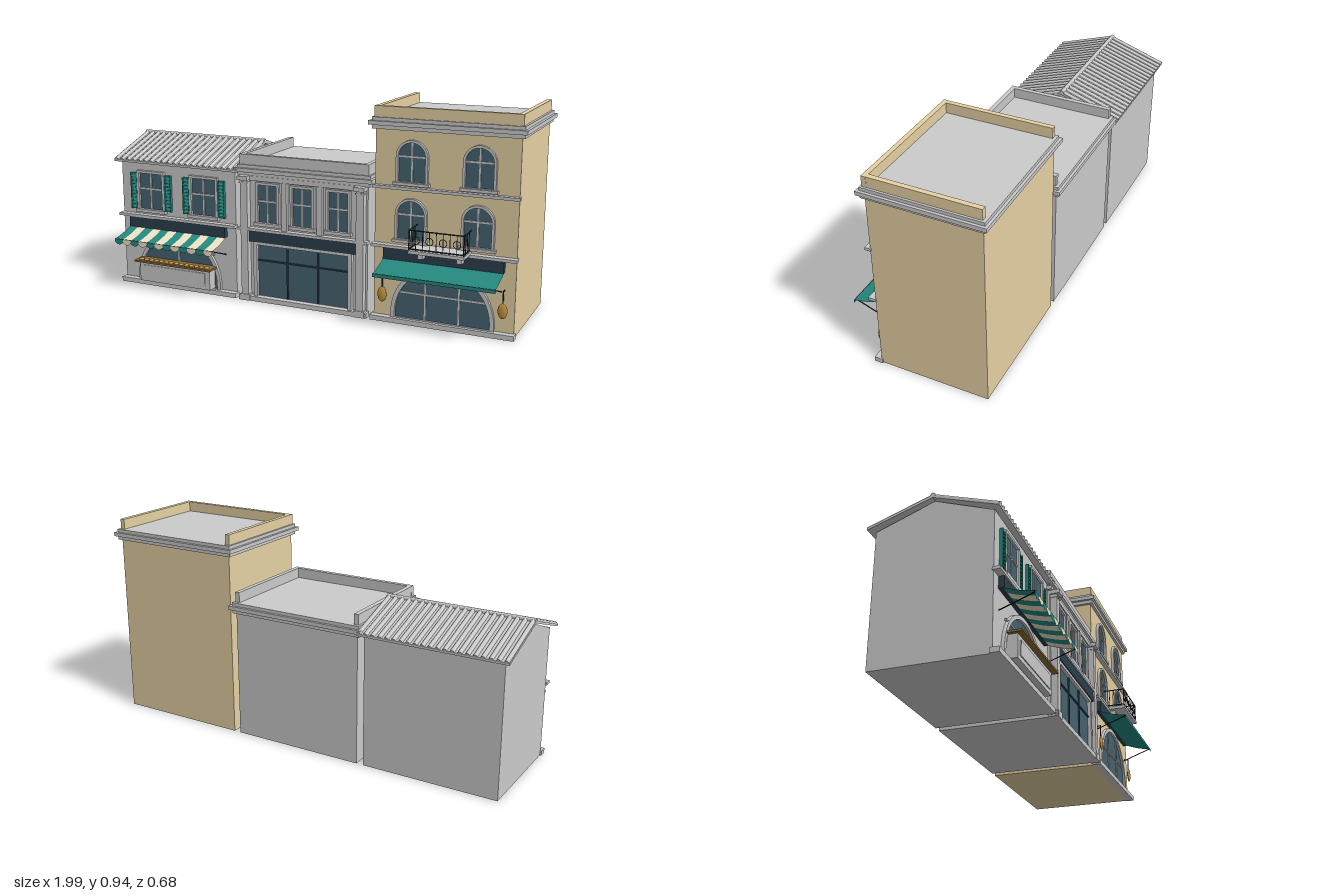
import * as THREE from 'three';

const paint = (color, side = THREE.FrontSide) => new THREE.MeshStandardMaterial({ color, side });
const GREY = paint(0xcccccc), TAN = paint(0xe6d2a4), GLASS = paint(0x466472), NAVY = paint(0x2c3e4e);
const TEAL = paint(0x258a80), GOLD = paint(0xc9973f), BLACK = paint(0x22262a), BROWN = paint(0x8a6a3c);
const TEAL_CLOTH = paint(0x258a80, THREE.DoubleSide), CREAM_CLOTH = paint(0xeee4c8, THREE.DoubleSide);
const FRONT = 0.19, BACK = -0.31, MID = -0.06, W = 0.626, STEP = 0.658;

function add(g, name, geo, mat) {
  const m = new THREE.Mesh(geo, mat);
  m.name = name;
  g.add(m);
  return m;
}

// Box given by centre x, width, and y / z ranges
function box(g, name, mat, x, w, y0, y1, z0, z1) {
  const geo = new THREE.BoxGeometry(w, y1 - y0, z1 - z0);
  return add(g, name, geo.translate(x, (y0 + y1) / 2, (z0 + z1) / 2), mat);
}

// Round bar between two points
function bar(g, name, mat, a, b, r, sides = 6) {
  const p = new THREE.Vector3(...a), q = new THREE.Vector3(...b);
  const m = add(g, name, new THREE.CylinderGeometry(r, r, p.distanceTo(q), sides), mat);
  m.position.copy(p).add(q).multiplyScalar(0.5);
  m.quaternion.setFromUnitVectors(new THREE.Vector3(0, 1, 0), q.sub(p).normalize());
  return m;
}

function archShape(r, bottom, spring) {
  const s = new THREE.Shape();
  s.moveTo(-r, bottom).lineTo(r, bottom).lineTo(r, spring);
  s.absarc(0, spring, r, 0, Math.PI, false);
  s.lineTo(-r, bottom);
  return s;
}

function slab(g, name, mat, shape, x, z0, z1) {
  const geo = new THREE.ExtrudeGeometry(shape, { depth: z1 - z0, bevelEnabled: false, curveSegments: 24 });
  return add(g, name, geo.translate(x, 0, z0), mat);
}

// Arched glass with a raised surround
function archOpening(g, x, r, bottom, spring, t) {
  slab(g, 'archGlass', GLASS, archShape(r, bottom, spring), x, FRONT - 0.005, FRONT + 0.004);
  const ring = archShape(r + t, bottom, spring);
  ring.holes.push(archShape(r, bottom + 0.002, spring));
  slab(g, 'archSurround', GREY, ring, x, FRONT - 0.005, FRONT + 0.014);
}

function glazingBars(g, x, y0, y1, w, yCross) {
  box(g, 'mullion', GREY, x, 0.007, y0, y1, FRONT, FRONT + 0.008);
  box(g, 'transom', GREY, x, w, yCross - 0.0035, yCross + 0.0035, FRONT, FRONT + 0.008);
}

function archWindow(g, x, floor) {
  const r = 0.06, bottom = floor + 0.025, spring = floor + 0.135;
  archOpening(g, x, r, bottom, spring, 0.011);
  glazingBars(g, x, bottom, spring + r, 2 * r, spring);
  box(g, 'windowSill', GREY, x, 0.16, bottom - 0.013, bottom, FRONT, FRONT + 0.022);
}

function squareWindow(g, x, w) {
  const y0 = 0.375, y1 = 0.55;
  box(g, 'windowGlass', GLASS, x, w, y0, y1, FRONT, FRONT + 0.004);
  for (const s of [-1, 1]) box(g, 'windowJamb', GREY, x + s * (w / 2 + 0.006), 0.012, y0, y1, FRONT, FRONT + 0.014);
  box(g, 'windowHead', GREY, x, w + 0.024, y1, y1 + 0.012, FRONT, FRONT + 0.014);
  box(g, 'windowSill', GREY, x, w + 0.036, y0 - 0.015, y0, FRONT, FRONT + 0.022);
  glazingBars(g, x, y0, y1, w, 0.475);
}

function shutter(g, x) {
  box(g, 'shutter', TEAL, x, 0.036, 0.372, 0.548, FRONT, FRONT + 0.008);
  for (const s of [-1, 1]) box(g, 'shutterStile', TEAL, x + s * 0.015, 0.006, 0.372, 0.548, FRONT, FRONT + 0.014);
  for (let i = 0; i < 10; i++) {
    const louver = add(g, 'shutterLouver', new THREE.BoxGeometry(0.024, 0.01, 0.003), TEAL);
    louver.position.set(x, 0.385 + i * 0.0165, FRONT + 0.01);
    louver.rotation.x = -0.5;
  }
}

// Sagging cloth strip with a hanging valance
function awningStrip(g, x, w, mat, scallop) {
  const cloth = new THREE.PlaneGeometry(w, 1, 1, 8), p = cloth.attributes.position;
  for (let i = 0; i < p.count; i++) {
    const t = 0.5 - p.getY(i);
    p.setXYZ(i, p.getX(i) + x, 0.288 - 0.06 * t + 0.022 * t * t, 0.2 + 0.135 * t);
  }
  cloth.computeVertexNormals();
  add(g, 'awningCloth', cloth, mat);
  const s = new THREE.Shape();
  s.moveTo(-w / 2, 0.25).lineTo(-w / 2, 0.235);
  if (scallop) s.quadraticCurveTo(0, 0.213, w / 2, 0.235);
  else s.lineTo(w / 2, 0.235);
  s.lineTo(w / 2, 0.25);
  add(g, 'awningValance', new THREE.ShapeGeometry(s).translate(x, 0, 0.335), mat);
}

function awning(g, w, count, mats) {
  const a = new THREE.Group();
  a.name = 'awning';
  g.add(a);
  const sw = w / count;
  for (let i = 0; i < count; i++) awningStrip(a, -w / 2 + (i + 0.5) * sw, sw, mats[i % mats.length], count > 1);
  for (const s of [-1, 1]) bar(a, 'awningArm', BLACK, [s * w * 0.48, 0.248, 0.33], [s * w * 0.48, 0.198, FRONT], 0.0025);
  bar(a, 'awningFrontRod', BLACK, [-w / 2, 0.249, 0.332], [w / 2, 0.249, 0.332], 0.002);
}

// Three-tier cornice round the whole block, closing the flat roof
function cornice(g, y) {
  const tiers = [[0, 0.017, 0.013], [0.017, 0.035, 0.026], [0.035, 0.05, 0.014]];
  for (const [a, b, o] of tiers) box(g, 'cornice', GREY, 0, W + 2 * o, y + a, y + b, BACK - o, FRONT + o);
}

function parapet(g, mat, y0, y1) {
  box(g, 'frontParapet', mat, 0, W + 0.01, y0, y1, FRONT - 0.015, FRONT + 0.006);
  for (const s of [-1, 1]) box(g, 'sideParapet', mat, s * (W / 2 - 0.007), 0.022, y0, y1, BACK, FRONT - 0.015);
}

// Parts shared by all three fronts
function building(name, x, mat, height) {
  const g = new THREE.Group();
  g.name = name;
  g.position.x = x;
  box(g, 'walls', mat, 0, W, 0, height, BACK, FRONT);
  box(g, 'plinth', GREY, 0, W + 0.014, 0, 0.022, FRONT - 0.008, FRONT + 0.03);
  box(g, 'stringCourse', GREY, 0, W + 0.014, 0.335, 0.348, FRONT - 0.005, FRONT + 0.03);
  box(g, 'signBoard', NAVY, 0, 0.53, 0.284, 0.335, FRONT, FRONT + 0.024);
  return g;
}

function bakery() {
  const g = building('bakery', -STEP, GREY, 0.6);
  archOpening(g, 0, 0.212, 0.022, 0.045, 0.018);
  glazingBars(g, 0, 0.13, 0.25, 0.39, 0.19);
  box(g, 'counter', GREY, 0, 0.39, 0.027, 0.125, FRONT, 0.243);
  box(g, 'counterPanel', GREY, 0, 0.34, 0.045, 0.108, 0.243, 0.247);
  box(g, 'counterTop', BROWN, 0, 0.42, 0.125, 0.134, FRONT, 0.268);
  for (let i = 0; i < 14; i++) {
    const loaf = add(g, 'loaf', new THREE.SphereGeometry(0.011, 10, 6), GOLD);
    loaf.scale.set(1, 0.6, 1.5);
    loaf.position.set(-0.182 + i * 0.028, 0.136, 0.245);
  }
  for (const s of [-1, 1]) {
    squareWindow(g, s * 0.146, 0.128);
    for (const t of [-1, 1]) shutter(g, s * 0.146 + t * 0.095);
  }
  awning(g, 0.535, 12, [TEAL_CLOTH, CREAM_CLOTH]);
  // Gable and pitched roof with ribs running down each slope
  const along = (pts, w, name) => {
    const s = new THREE.Shape(pts.map(([z, y]) => new THREE.Vector2(z, y)));
    const geo = new THREE.ExtrudeGeometry(s, { depth: w, bevelEnabled: false });
    add(g, name, geo.rotateY(-Math.PI / 2).translate(w / 2, 0, MID), GREY);
  };
  along([[-0.25, 0.598], [0.25, 0.598], [0, 0.69]], W, 'gable');
  along([[-0.277, 0.6], [0, 0.692], [0.277, 0.6], [0.277, 0.61], [0, 0.703], [-0.277, 0.61]], 0.676, 'roofDeck');
  for (let i = 0; i < 21; i++) {
    const x = -0.326 + i * 0.0326;
    for (const s of [-1, 1]) bar(g, 'roofRib', GREY, [x, 0.703, MID], [x, 0.61, MID + s * 0.278], 0.01, 8);
  }
  bar(g, 'ridgeCap', GREY, [-0.338, 0.703, MID], [0.338, 0.703, MID], 0.011, 8);
  return g;
}

function theatre() {
  const g = building('theatre', 0, GREY, 0.59);
  // Shop window
  box(g, 'shopGlass', GLASS, 0, 0.455, 0.025, 0.272, FRONT, FRONT + 0.004);
  for (const s of [-1, 1]) {
    box(g, 'shopJamb', GREY, s * 0.236, 0.018, 0.022, 0.284, FRONT, FRONT + 0.02);
    box(g, 'shopMullion', NAVY, s * 0.076, 0.007, 0.025, 0.272, FRONT, FRONT + 0.01);
  }
  box(g, 'shopHead', GREY, 0, 0.49, 0.27, 0.284, FRONT, FRONT + 0.02);
  box(g, 'shopTransom', NAVY, 0, 0.455, 0.192, 0.199, FRONT, FRONT + 0.01);
  for (const x of [-0.175, 0, 0.175]) squareWindow(g, x, 0.094);
  for (const x of [-0.0875, 0.0875]) box(g, 'windowPier', GREY, x, 0.026, 0.348, 0.57, FRONT, FRONT + 0.018);
  box(g, 'frieze', GREY, 0, 0.53, 0.568, 0.59, FRONT, FRONT + 0.016);
  // Corner pilasters with base and capital
  for (const s of [-1, 1]) {
    const x = s * 0.286;
    box(g, 'pilaster', GREY, x, 0.036, 0.02, 0.575, FRONT, FRONT + 0.03);
    box(g, 'pilasterBase', GREY, x, 0.048, 0, 0.03, FRONT, FRONT + 0.034);
    box(g, 'pilasterNeck', GREY, x, 0.042, 0.555, 0.562, FRONT, FRONT + 0.034);
    box(g, 'pilasterCapital', GREY, x, 0.05, 0.571, 0.59, FRONT, FRONT + 0.045);
  }
  cornice(g, 0.588);
  parapet(g, GREY, 0.635, 0.685);
  return g;
}

function balcony(g) {
  const b = new THREE.Group();
  b.name = 'balcony';
  g.add(b);
  const h = 0.118, y0 = 0.36, y1 = 0.446, z1 = 0.295;
  box(b, 'balconyFloor', GREY, 0, 0.242, 0.345, 0.359, FRONT, 0.299);
  for (const s of [-1, 1]) {
    box(b, 'balconyBracket', GREY, s * 0.085, 0.022, 0.31, 0.345, FRONT, 0.245);
    for (const y of [y0 + 0.006, y1]) bar(b, 'sideRail', BLACK, [s * h, y, FRONT], [s * h, y, z1], 0.0028);
    for (const z of [0.222, 0.246, 0.27]) bar(b, 'sideBaluster', BLACK, [s * h, y0, z], [s * h, y1, z], 0.0016);
  }
  for (const y of [y0 + 0.006, y1]) bar(b, 'frontRail', BLACK, [-h, y, z1], [h, y, z1], 0.0028);
  for (let i = 0; i <= 8; i++) {
    const x = -h + (i * h) / 4;
    bar(b, 'baluster', BLACK, [x, y0, z1], [x, y1, z1], i % 8 ? 0.0016 : 0.003);
    if (i % 2) {
      const ring = add(b, 'railRing', new THREE.TorusGeometry(0.016, 0.0016, 5, 20), BLACK);
      ring.position.set(x, 0.405, z1);
    }
  }
}

function jeweller() {
  const g = building('jeweller', STEP, TAN, 0.85);
  archOpening(g, 0, 0.212, 0.022, 0.045, 0.018);
  for (const x of [-0.075, 0.075]) box(g, 'shopMullion', GREY, x, 0.007, 0.022, 0.24, FRONT, FRONT + 0.008);
  box(g, 'shopTransom', GREY, 0, 0.38, 0.136, 0.143, FRONT, FRONT + 0.008);
  box(g, 'upperCourse', GREY, 0, W + 0.014, 0.592, 0.605, FRONT - 0.005, FRONT + 0.022);
  for (const floor of [0.35, 0.6]) for (const s of [-1, 1]) archWindow(g, s * 0.146, floor);
  awning(g, 0.53, 1, [TEAL_CLOTH]);
  balcony(g);
  // Hanging oval medallions
  for (const s of [-1, 1]) {
    const oval = add(g, 'medallion', new THREE.SphereGeometry(1, 20, 12), GOLD);
    oval.scale.set(0.021, 0.034, 0.007);
    oval.position.set(s * 0.267, 0.122, 0.212);
    bar(g, 'medallionHanger', BLACK, [s * 0.267, 0.15, 0.21], [s * 0.267, 0.21, 0.21], 0.0028);
    bar(g, 'medallionBracket', BLACK, [s * 0.267, 0.207, FRONT], [s * 0.267, 0.207, 0.212], 0.0028);
  }
  cornice(g, 0.845);
  parapet(g, TAN, 0.89, 0.942);
  return g;
}

export function createModel() {
  const model = new THREE.Group();
  model.name = 'shopRow';
  model.add(bakery(), theatre(), jeweller());
  return model;
}
